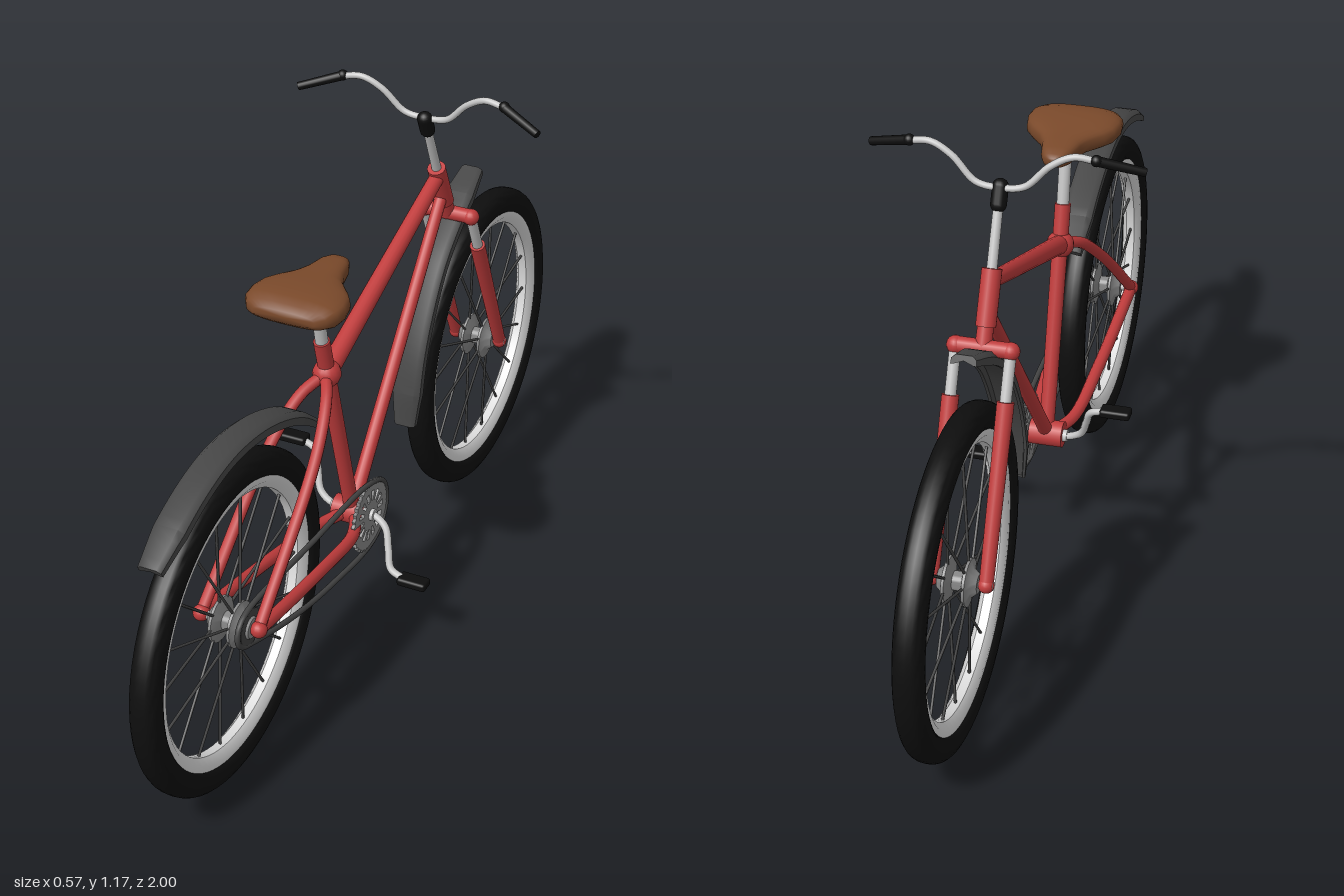
import * as THREE from 'three';
import { toCreasedNormals } from 'three/addons/utils/BufferGeometryUtils.js';
import { RoundedBoxGeometry } from 'three/addons/geometries/RoundedBoxGeometry.js';

const mat = (name, color) => Object.assign(new THREE.MeshStandardMaterial({ color }), { name });
const V = (x, y, z) => new THREE.Vector3(x, y, z);

export function createModel() {
  const bike = new THREE.Group();
  bike.name = 'bicycle';
  const red = mat('frame red', 0xc03c3c);
  const black = mat('rubber black', 0x0e0e0e);
  const white = mat('rim white', 0xdedede);
  const silver = mat('silver', 0xc4c4c4);
  const steel = mat('steel', 0x8a8a8a);
  const dark = mat('chain grey', 0x444444);
  const fenderGrey = mat('fender grey', 0x484848);
  const brown = mat('saddle brown', 0x7b4a2b);

  const add = (name, geo, m, parent = bike) => {
    const mesh = new THREE.Mesh(geo, m);
    mesh.name = name;
    parent.add(mesh);
    return mesh;
  };
  // Straight tube from a to b
  const bar = (name, a, b, ra, rb, m, parent = bike, sides = 16) => {
    const d = b.clone().sub(a);
    const mesh = add(name, new THREE.CylinderGeometry(rb, ra, d.length(), sides), m, parent);
    mesh.position.copy(a).addScaledVector(d, 0.5);
    mesh.quaternion.setFromUnitVectors(V(0, 1, 0), d.normalize());
    return mesh;
  };
  const ball = (name, p, r, m, parent = bike) => {
    const mesh = add(name, new THREE.SphereGeometry(r, 16, 12), m, parent);
    mesh.position.copy(p);
    return mesh;
  };
  const pipe = (name, pts, r, m, closed = false, segs = 48) =>
    add(name, new THREE.TubeGeometry(new THREE.CatmullRomCurve3(pts, closed), segs, r, 10, closed), m);
  // Solid skin over a row of cross-sections with capped ends
  const loft = (rings) => {
    const n = rings[0].length, pos = [], idx = [];
    rings.forEach((ring) => ring.forEach((p) => pos.push(p.x, p.y, p.z)));
    for (let i = 0; i < rings.length - 1; i++)
      for (let j = 0; j < n; j++) {
        const a = i * n + j, b = i * n + (j + 1) % n;
        idx.push(a, b, a + n, b, b + n, a + n);
      }
    [0, rings.length - 1].forEach((i) => {
      const c = rings[i].reduce((s, p) => s.add(p), V(0, 0, 0)).divideScalar(n);
      const ci = pos.length / 3;
      pos.push(c.x, c.y, c.z);
      for (let j = 0; j < n; j++) {
        const a = i * n + j, b = i * n + (j + 1) % n;
        idx.push(ci, ...(i ? [a, b] : [b, a]));
      }
    });
    const g = new THREE.BufferGeometry();
    g.setAttribute('position', new THREE.Float32BufferAttribute(pos, 3));
    g.setIndex(idx);
    g.computeVertexNormals();
    return g;
  };
  // Ring-shaped part turned about the x axis; profile is [radius, x]
  const turned = (name, profile, m, parent, segs = 72) => {
    const pts = profile.map(([r, x]) => new THREE.Vector2(r, x));
    const g = toCreasedNormals(new THREE.LatheGeometry(pts, segs), 0.7);
    return add(name, g.rotateZ(-Math.PI / 2), m, parent);
  };

  // Wheels
  const tyreProfile = [];
  for (let i = 0; i <= 20; i++) {
    const a = (i / 20) * Math.PI * 2, c = Math.cos(a), s = Math.sin(a);
    tyreProfile.push([0.335 + 0.031 * Math.sign(c) * Math.abs(c) ** 0.8, 0.031 * Math.sign(s) * Math.abs(s) ** 0.8]);
  }
  const wheel = (name, z) => {
    const w = new THREE.Group();
    w.name = name;
    w.position.set(0, 0.368, z);
    bike.add(w);
    turned('tyre', tyreProfile, black, w);
    turned('rim', [[0.312, -0.022], [0.312, 0.022], [0.298, 0.022], [0.282, 0.01], [0.282, -0.01], [0.298, -0.022], [0.312, -0.022]], white, w);
    turned('hub', [[0, -0.042], [0.02, -0.042], [0.03, -0.03], [0.05, -0.024], [0.05, -0.018], [0.02, -0.01],
      [0.02, 0.01], [0.05, 0.018], [0.05, 0.024], [0.03, 0.03], [0.02, 0.042], [0, 0.042]], steel, w, 28);
    bar('axle', V(-0.072, 0, 0), V(0.072, 0, 0), 0.009, 0.009, silver, w);
    for (let i = 0; i < 18; i++) {
      const a = ((i + 0.4) / 18) * Math.PI * 2, c = Math.cos(a), s = Math.sin(a);
      bar('spoke', V(i % 2 ? 0.02 : -0.02, 0.04 * c, 0.04 * s), V(0, 0.29 * c, 0.29 * s), 0.0032, 0.0032, dark, w, 6);
    }
  };
  wheel('rearWheel', 0.632);
  wheel('frontWheel', -0.632);

  // Main frame
  const seatJoint = V(0, 0.71, 0.185), bottom = V(0, 0.289, 0.067);
  bar('topTube', seatJoint, V(0, 0.915, -0.37), 0.022, 0.017, red);
  bar('downTube', V(0, 0.855, -0.395), V(0, 0.3, 0.06), 0.014, 0.016, red);
  bar('seatTube', V(0, 0.8, 0.208), bottom, 0.018, 0.017, red);
  bar('headTube', V(0, 0.94, -0.365), V(0, 0.835, -0.415), 0.021, 0.021, red);
  ball('seatLug', seatJoint, 0.031, red);
  bar('bottomBracket', V(-0.04, 0.289, 0.067), V(0.036, 0.289, 0.067), 0.03, 0.03, red);
  [-1, 1].forEach((s) => {
    pipe('seatStay', [V(0, 0.712, 0.19), V(s * 0.03, 0.685, 0.25), V(s * 0.054, 0.605, 0.35), V(s * 0.066, 0.37, 0.632)], 0.013, red);
    pipe('chainStay', [V(s * 0.015, 0.287, 0.08), V(s * 0.042, 0.287, 0.15), V(s * 0.057, 0.318, 0.34), V(s * 0.066, 0.368, 0.632)], 0.014, red);
    ball('rearDropout', V(s * 0.066, 0.369, 0.632), 0.018, red);
    // Suspension fork
    bar('forkUpper', V(s * 0.057, 0.795, -0.436), V(s * 0.057, 0.68, -0.489), 0.012, 0.012, silver);
    bar('forkLower', V(s * 0.057, 0.705, -0.477), V(s * 0.057, 0.368, -0.632), 0.018, 0.015, red);
    ball('forkEnd', V(s * 0.057, 0.368, -0.632), 0.017, red);
    ball('crownEnd', V(s * 0.057, 0.797, -0.435), 0.019, red);
  });
  bar('forkCrown', V(-0.058, 0.798, -0.435), V(0.058, 0.798, -0.435), 0.017, 0.017, red);
  bar('steerer', V(0, 0.85, -0.41), V(0, 0.795, -0.435), 0.016, 0.018, red);

  // Handlebar and stem
  bar('stem', V(0, 0.93, -0.37), V(0, 1.08, -0.303), 0.011, 0.01, silver);
  const clamp = add('stemClamp', new THREE.CapsuleGeometry(0.017, 0.035, 6, 14), black);
  clamp.position.set(0, 1.072, -0.306);
  clamp.rotation.x = 0.43;
  const half = [[0.05, 1.095, -0.302], [0.1, 1.142, -0.294], [0.145, 1.164, -0.288], [0.195, 1.158, -0.283]];
  pipe('handlebar', [...half.map(([x, y, z]) => V(-x, y, z)).reverse(), V(0, 1.088, -0.304), ...half.map((p) => V(...p))], 0.0075, silver, false, 80);
  [-1, 1].forEach((s) => {
    bar('grip', V(s * 0.188, 1.16, -0.284), V(s * 0.281, 1.13, -0.249), 0.0105, 0.009, black);
    ball('gripCollar', V(s * 0.19, 1.16, -0.284), 0.012, black);
  });

  // Saddle on its post
  bar('seatPost', V(0, 0.78, 0.203), V(0, 0.93, 0.236), 0.014, 0.014, silver);
  const saddleSections = [[0.117, 0.012, 0.008], [0.124, 0.024, 0.016], [0.148, 0.034, 0.022], [0.19, 0.043, 0.024],
    [0.22, 0.057, 0.026], [0.25, 0.083, 0.028], [0.275, 0.1, 0.03], [0.31, 0.107, 0.031], [0.34, 0.104, 0.03],
    [0.363, 0.09, 0.024], [0.376, 0.07, 0.013]];
  const round = (v) => Math.sign(v) * Math.abs(v) ** 0.68;
  add('saddle', loft(saddleSections.map(([z, w, h]) => Array.from({ length: 28 }, (_, i) => {
    const a = (i / 28) * Math.PI * 2;
    return V(w * round(Math.cos(a)), 0.944 + h * round(Math.sin(a)), z);
  }))), brown);

  // Fenders: an arched channel swept along a [z, y] path
  const channel = [[0.035, -0.018], [0.034, -0.002], [0.022, 0.008], [-0.022, 0.008], [-0.034, -0.002], [-0.035, -0.018],
    [-0.028, -0.018], [-0.024, -0.006], [0.024, -0.006], [0.028, -0.018]];
  const fender = (name, path) => {
    const curve = new THREE.CatmullRomCurve3(path.map(([z, y]) => V(0, y, z)));
    const rings = [];
    for (let i = 0; i <= 32; i++) {
      const t = i / 32, p = curve.getPointAt(t);
      const n = curve.getTangentAt(t).cross(V(1, 0, 0));
      const k = 0.75 + 0.25 * Math.min(1, t * 8, (1 - t) * 8);
      rings.push(channel.map(([x, d]) => p.clone().addScaledVector(n, d * k).add(V(x * k, 0, 0))));
    }
    add(name, toCreasedNormals(loft(rings), 0.7), fenderGrey);
  };
  fender('rearFender', [[0.27, 0.645], [0.36, 0.712], [0.46, 0.757], [0.55, 0.78], [0.645, 0.787], [0.74, 0.773], [0.84, 0.738], [0.928, 0.69]]);
  fender('frontFender', [[-0.568, 0.85], [-0.49, 0.815], [-0.42, 0.77], [-0.35, 0.712], [-0.29, 0.63], [-0.24, 0.53], [-0.216, 0.44], [-0.207, 0.355]]);

  // Toothed chainring with slots
  const ring = new THREE.Shape();
  for (let i = 0; i < 72; i++) {
    const a = (i / 72) * Math.PI * 2, r = i % 2 ? 0.079 : 0.086;
    ring[i ? 'lineTo' : 'moveTo'](r * Math.cos(a), r * Math.sin(a));
  }
  for (let i = 0; i < 14; i++) {
    const slot = new THREE.Path();
    [[-0.1, 0.036], [0.1, 0.036], [0.12, 0.06], [-0.12, 0.06]].forEach(([da, r], k) => {
      const a = (i / 14) * Math.PI * 2 + da;
      slot[k ? 'lineTo' : 'moveTo'](r * Math.cos(a), r * Math.sin(a));
    });
    ring.holes.push(slot);
  }
  const ringMesh = add('chainring', new THREE.ExtrudeGeometry(ring, { depth: 0.008, bevelEnabled: false }).rotateY(Math.PI / 2), steel);
  ringMesh.position.set(0.038, 0.289, 0.067);
  bar('sprocket', V(0.036, 0.368, 0.632), V(0.048, 0.368, 0.632), 0.042, 0.042, dark, bike, 24);
  bar('sprocketCap', V(0.046, 0.368, 0.632), V(0.053, 0.368, 0.632), 0.026, 0.022, steel, bike, 24);

  // Chain loop with slack below
  const chainPath = [[0.411, 0.63], [0.394, 0.35], [0.374, 0.08], [0.338, -0.003], [0.28, -0.02], [0.225, 0.012], [0.206, 0.07],
    [0.222, 0.24], [0.254, 0.41], [0.318, 0.615], [0.342, 0.668], [0.37, 0.68], [0.397, 0.668]];
  pipe('chain', chainPath.map(([y, z]) => V(0.043, y, z)), 0.0062, dark, true, 140);

  // Cranks and pedals, opposite each other
  const crankPath = [[0.03, 0], [0.055, 0.02], [0.084, 0.18], [0.1, 0.55], [0.114, 0.88], [0.15, 1]];
  [-1, 1].forEach((s) => {
    pipe('crankArm', crankPath.map(([x, t]) => V(s * x, 0.289 - s * t * 0.113, 0.062 + s * t * 0.05)), 0.0085, silver);
    add('pedal', new RoundedBoxGeometry(0.068, 0.019, 0.037, 2, 0.006), black)
      .position.set(s * 0.172, 0.29 - s * 0.113, 0.062 + s * 0.051);
  });
  bar('crankAxle', V(-0.05, 0.289, 0.064), V(0.054, 0.289, 0.064), 0.014, 0.014, silver);
  return bike;
}
